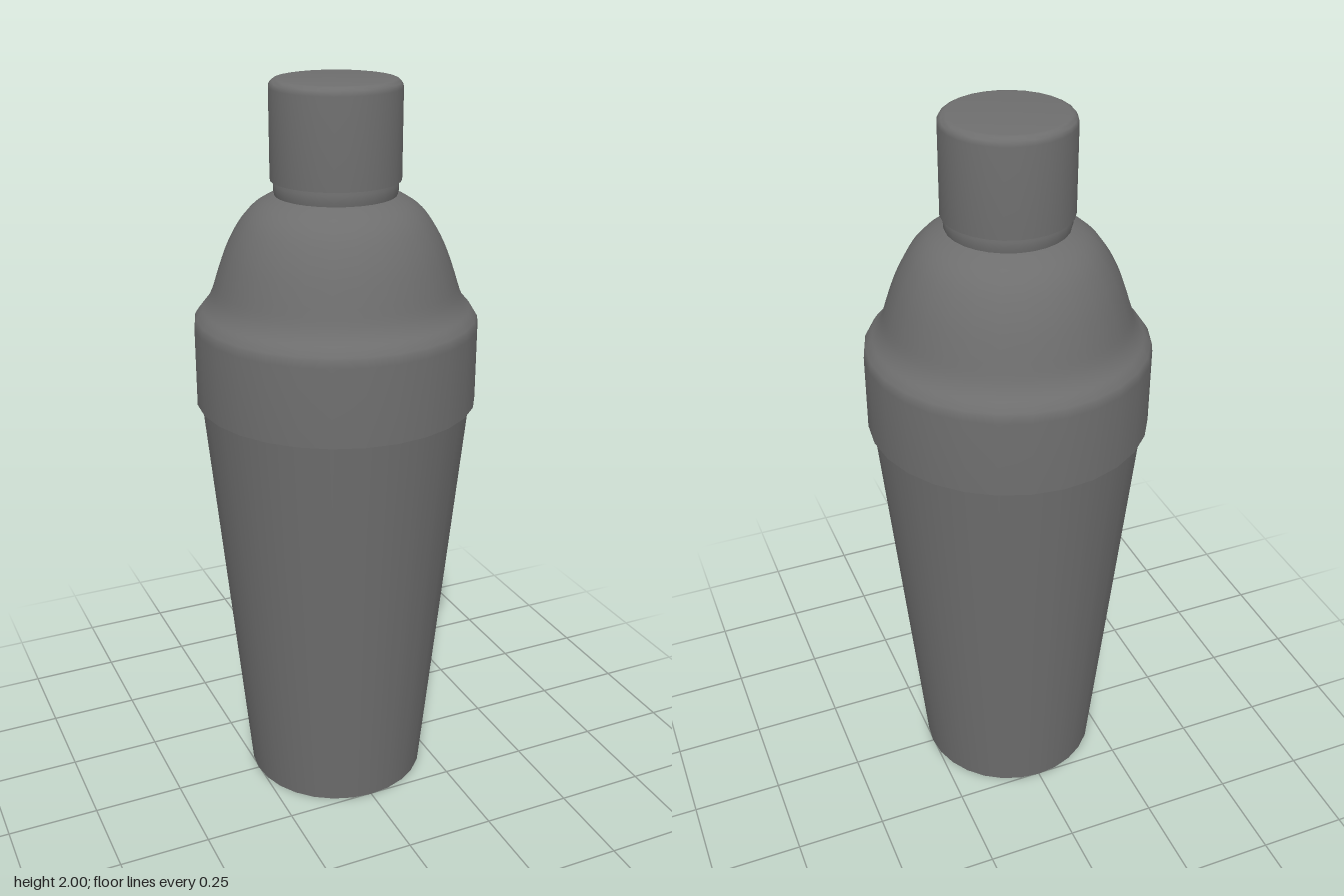
import * as THREE from 'three';
import { toCreasedNormals } from 'three/addons/utils/BufferGeometryUtils.js';

const SIDES = 28;

export function createModel() {
  const group = new THREE.Group();
  group.name = 'cocktailShaker';
  const steel = new THREE.MeshStandardMaterial({ color: 0x6e6e6e });

  // Turn a profile of [radius, height] points, running from bottom to top
  function addTurned(name, profile) {
    const points = profile.map(([r, y]) => new THREE.Vector2(r, y));
    const geometry = toCreasedNormals(new THREE.LatheGeometry(points, SIDES), 0.7);
    const mesh = new THREE.Mesh(geometry, steel);
    mesh.name = name;
    group.add(mesh);
  }

  // Points of a smooth curve through a few control points
  const smooth = (pts, n) =>
    new THREE.SplineCurve(pts.map(([r, y]) => new THREE.Vector2(r, y)))
      .getPoints(n).map((p) => [p.x, p.y]);

  // Tapered cup, closed at the bottom and tucked into the lid
  addTurned('cup', [[0, 0], [0.253, 0], [0.365, 1.155], [0.368, 1.19], [0, 1.19]]);

  // Lid: straight collar, rounded shoulder, then dome
  addTurned('domedLid', [
    [0.35, 1.155], [0.378, 1.155], [0.378, 1.365],
    ...smooth([[0.376, 1.385], [0.363, 1.405], [0.345, 1.425], [0.328, 1.455],
      [0.31, 1.51], [0.288, 1.57], [0.263, 1.62], [0.235, 1.66],
      [0.2, 1.69], [0.155, 1.712]], 24),
    [0, 1.712],
  ]);

  // Short neck below the cap
  addTurned('neck', [[0.157, 1.7], [0.162, 1.72], [0.162, 1.738], [0.157, 1.76]]);

  // Cap with a rounded top edge
  const bevel = 0.022;
  const capEdge = Array.from({ length: 6 }, (_, i) => {
    const a = (i / 5) * Math.PI / 2;
    return [0.17 - bevel + bevel * Math.cos(a), 2 - bevel + bevel * Math.sin(a)];
  });
  addTurned('cap', [[0, 1.748], [0.17, 1.748], ...capEdge, [0, 2]]);

  return group;
}
